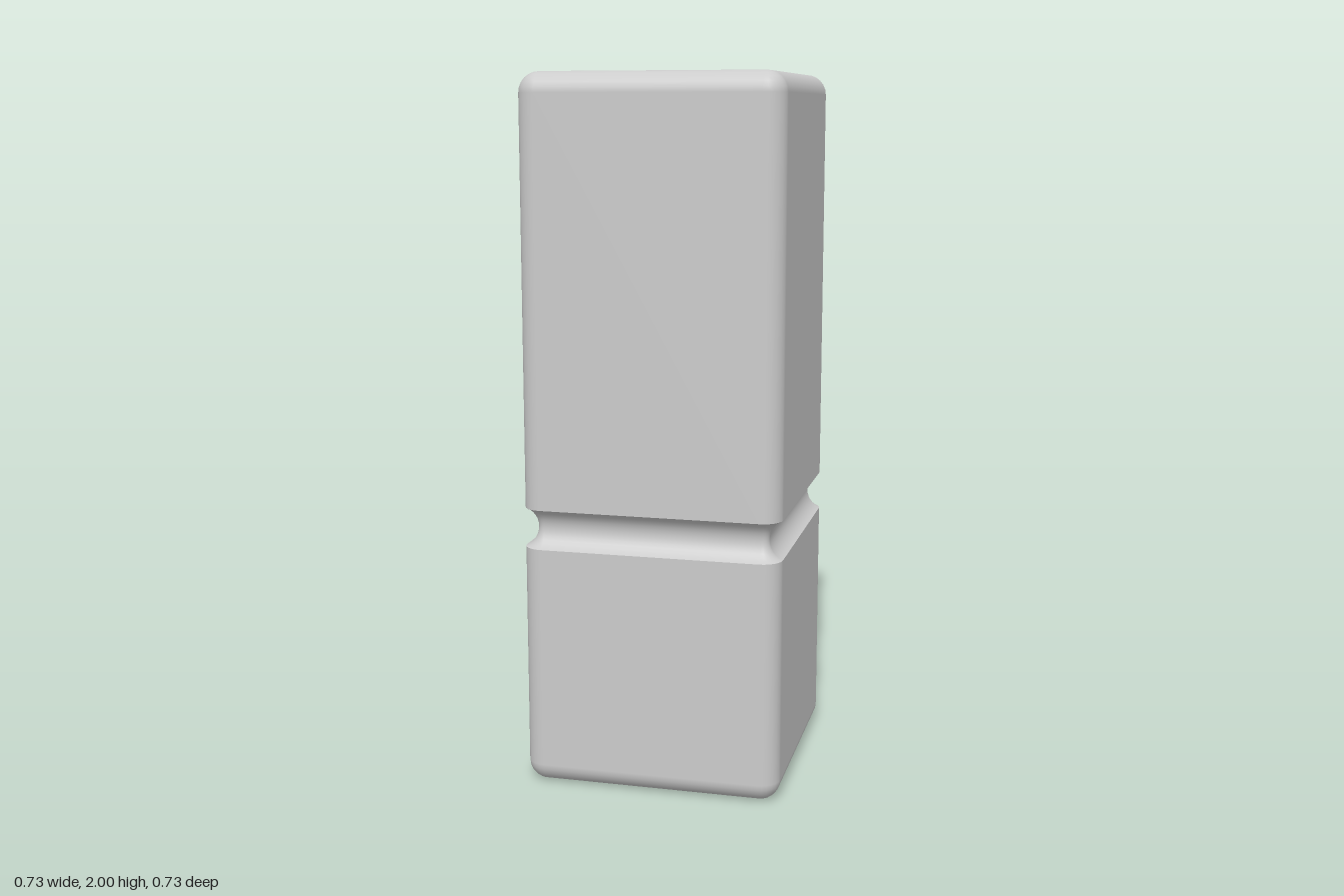
import * as THREE from 'three';

const HALF = 0.367;          // half width of the pillar
const R = 0.057;             // radius of all rounded edges
const FLAT = HALF - R;       // half width of the flat end faces
const HEIGHT = 2;
const HOLE = { x: -0.01, r: 0.247, sides: 16 };

// Points on an arc as {inset, y, n:[out, up]}; sign -1 makes a concave arc
function arc(inset, y, r, from, to, steps, sign = 1) {
  return Array.from({ length: steps + 1 }, (_, i) => {
    const a = from + (to - from) * i / steps, c = Math.cos(a), s = Math.sin(a);
    return { inset: inset - r * c, y: y + r * s, n: [sign * c, sign * s] };
  });
}

// Sweeps a vertical profile around a rounded square
function sweep(profile) {
  const outline = [];
  for (let q = 0; q < 4; q++) {
    const mid = (q + 0.5) * Math.PI / 2;
    for (let i = 0; i <= 6; i++) {
      const a = (q + i / 6) * Math.PI / 2;
      outline.push([Math.sign(Math.cos(mid)), Math.sign(Math.sin(mid)), Math.cos(a), Math.sin(a)]);
    }
  }
  const pos = [], nor = [], index = [], n = outline.length;
  profile.forEach((p, j) => {
    outline.forEach(([sx, sz, c, s], i) => {
      pos.push(sx * FLAT + (R - p.inset) * c, p.y, sz * FLAT + (R - p.inset) * s);
      nor.push(p.n[0] * c, p.n[1], p.n[0] * s);
      if (j === profile.length - 1) return;
      const a = j * n + i, b = j * n + (i + 1) % n;
      index.push(a, a + n, b + n, a, b + n, b);
    });
  });
  const g = new THREE.BufferGeometry();
  g.setAttribute('position', new THREE.Float32BufferAttribute(pos, 3));
  g.setAttribute('normal', new THREE.Float32BufferAttribute(nor, 3));
  g.setIndex(index);
  return g;
}

function squareShape() {
  return new THREE.Shape([[-1, -1], [1, -1], [1, 1], [-1, 1]]
    .map(([x, y]) => new THREE.Vector2(x * FLAT, y * FLAT)));
}

export function createModel() {
  const group = new THREE.Group();
  const material = new THREE.MeshStandardMaterial({ color: 0xcccccc });
  const add = (name, geometry) => {
    const mesh = new THREE.Mesh(geometry, material);
    mesh.name = name;
    group.add(mesh);
    return mesh;
  };
  const Q = Math.PI / 2;

  // Concave groove: circle centred just outside the wall
  const gy = 0.748, gr = 0.061, out = 0.024;
  const open = Math.acos(out / gr), gh = gr * Math.sin(open);

  // Lower block, groove and upper block, with sharp edges between them
  add('lowerBlock', sweep([
    ...arc(R, R, R, -Q, 0, 6),
    { inset: 0, y: gy - gh, n: [1, 0] },
  ]));
  add('groove', sweep(arc(-out, gy, gr, Math.PI + open, Math.PI - open, 12, -1)));
  add('upperBlock', sweep([
    { inset: 0, y: gy + gh, n: [1, 0] },
    ...arc(R, HEIGHT - R, R, 0, Q, 6),
  ]));

  // End faces, the top one pierced by the socket opening
  const bottom = add('bottomFace', new THREE.ShapeGeometry(squareShape()));
  bottom.rotation.x = Q;
  const topShape = squareShape();
  topShape.holes.push(new THREE.Path(Array.from({ length: HOLE.sides }, (_, i) => {
    const a = -i / HOLE.sides * Math.PI * 2;
    return new THREE.Vector2(HOLE.x + HOLE.r * Math.cos(a), HOLE.r * Math.sin(a));
  })));
  const top = add('topFace', new THREE.ShapeGeometry(topShape));
  top.rotation.x = -Q;
  top.position.y = HEIGHT;

  // Round-bottomed socket, drawn from rim to base so that it faces inward
  const bowl = Array.from({ length: 13 }, (_, i) => new THREE.Vector2(
    i === 12 ? 0 : HOLE.r * Math.cos(i / 12 * Q), -HOLE.r * Math.sin(i / 12 * Q)));
  const socket = add('socket', new THREE.LatheGeometry(bowl, HOLE.sides));
  socket.position.set(HOLE.x, HEIGHT, 0);

  return group;
}
